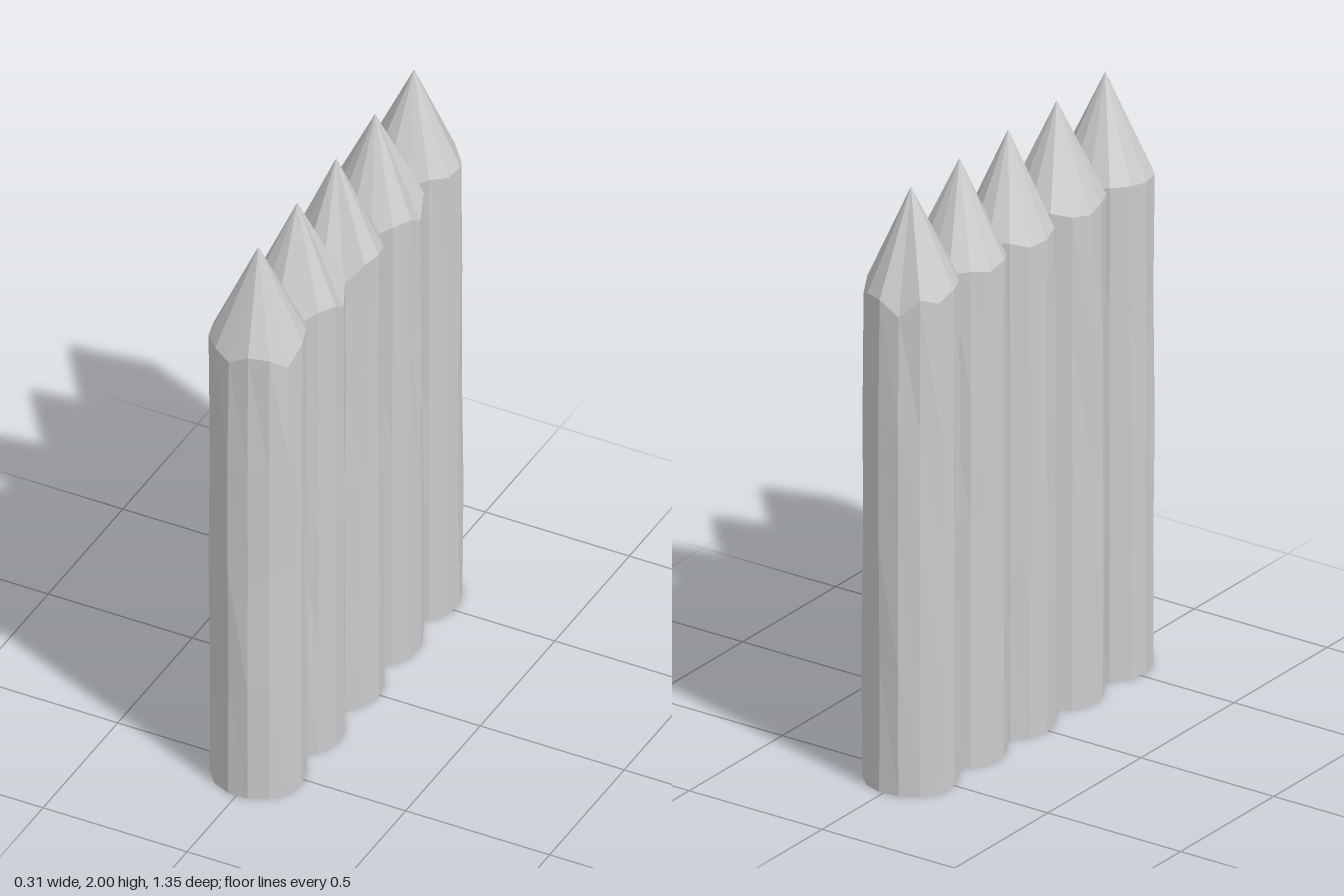
import * as THREE from 'three';

const SIDES = 14;
const RADIUS = 0.15;

// Small seeded generator returning values in -1..1
function seeded(seed) {
  let s = seed;
  return () => {
    s = (s * 16807) % 2147483647;
    return (s / 2147483647) * 2 - 1;
  };
}

// One rough-hewn log: flat bottom, slightly wobbly sides, pointed tip
function logGeometry(seed) {
  const heights = [0, 0.42, 0.84, 1.25, 1.67];
  const profile = [
    new THREE.Vector2(0, 0),
    ...heights.map((y) => new THREE.Vector2(RADIUS, y)),
    new THREE.Vector2(0, 2),
  ];
  const lathe = new THREE.LatheGeometry(profile, SIDES);
  const pos = lathe.attributes.position;
  const rand = seeded(seed);
  const wobble = Array.from({ length: SIDES * profile.length }, () => [rand(), rand()]);
  const shoulder = profile.length - 2;

  for (let i = 0; i <= SIDES; i++) {
    const side = i % SIDES; // the seam shares its offsets with the first side
    for (let j = 2; j <= shoulder; j++) {
      const k = i * profile.length + j;
      const [a, b] = wobble[side * profile.length + j];
      const scale = 1 + a * 0.03;
      let y = pos.getY(k) + b * 0.015;
      if (j === shoulder && side === 0) y = 1.62; // deep axe cuts
      if (j === shoulder && side === 11) y = 1.64;
      pos.setXYZ(k, pos.getX(k) * scale, y, pos.getZ(k) * scale);
    }
  }
  const flat = lathe.toNonIndexed();
  flat.computeVertexNormals();
  return flat;
}

export function createModel() {
  const model = new THREE.Group();
  model.name = 'palisadeWall';
  const wood = new THREE.MeshStandardMaterial({ color: 0xcccccc, flatShading: true });

  // Row of logs along z, each turned so its cuts face a different way
  const turns = [200, 100, 37, 105, 66];
  turns.forEach((deg, i) => {
    const log = new THREE.Mesh(logGeometry(1234567 + i * 7654321), wood);
    log.name = `log${i + 1}`;
    log.position.z = (i - 2) * 0.261;
    log.rotation.y = THREE.MathUtils.degToRad(deg);
    model.add(log);
  });
  return model;
}
